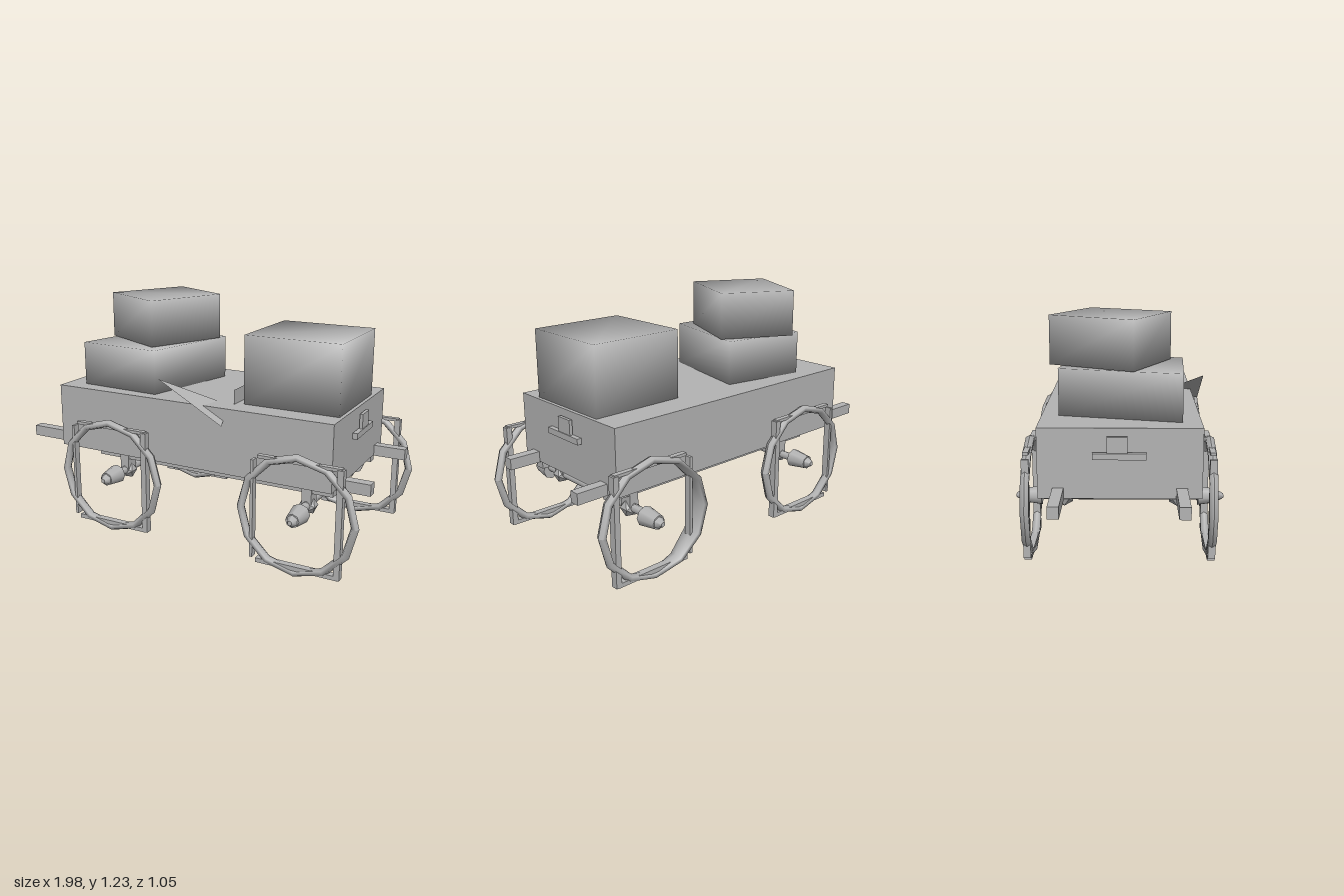
import * as THREE from 'three';
import { mergeVertices } from 'three/addons/utils/BufferGeometryUtils.js';

export function createModel() {
  const wagon = new THREE.Group();
  wagon.name = 'wagon';
  const grey = new THREE.MeshStandardMaterial({ color: 0xb3b3b3, side: THREE.DoubleSide });
  grey.name = 'plain grey';

  const add = (name, geo, x = 0, y = 0, z = 0, parent = wagon) => {
    const mesh = new THREE.Mesh(geo, grey);
    mesh.name = name;
    mesh.position.set(x, y, z);
    parent.add(mesh);
    return mesh;
  };
  // Box given by its limits on each axis
  const box = (name, x0, x1, y0, y1, z0, z1, parent) =>
    add(name, new THREE.BoxGeometry(x1 - x0, y1 - y0, z1 - z0),
      (x0 + x1) / 2, (y0 + y1) / 2, (z0 + z1) / 2, parent);
  // Share the vertices so the shading runs softly over the edges
  const soften = (geo) => {
    geo.deleteAttribute('normal');
    geo.deleteAttribute('uv');
    const g = mergeVertices(geo);
    g.computeVertexNormals();
    return g;
  };
  // Upright crate standing on four ground corners [x, z], back-left round to front-left
  const crate = (name, corners, y0, y1) => {
    const geo = new THREE.BoxGeometry(1, 1, 1);
    const p = geo.attributes.position;
    for (let i = 0; i < p.count; i++) {
      const right = p.getX(i) > 0, front = p.getZ(i) > 0;
      const [x, z] = corners[front ? (right ? 2 : 3) : (right ? 1 : 0)];
      p.setXYZ(i, x, p.getY(i) > 0 ? y1 : y0, z);
    }
    return add(name, soften(geo));
  };

  // Cargo bed
  box('bed', -0.745, 0.815, 0.43, 0.766, -0.38, 0.38);

  // Long beams and the rails beneath them
  for (const s of [-1, 1]) {
    box('beam', -1, 0.98, 0.425, 0.482, s * 0.285 - 0.026, s * 0.285 + 0.026);
    box('rail', -0.545, 0.8, 0.385, 0.43, s * 0.285 - 0.026, s * 0.285 + 0.026);
  }

  // Handles on both ends
  for (const [name, x] of [['rightHandle', -0.765], ['leftHandle', 0.83]]) {
    box(name + 'Bar', x - 0.012, x + 0.012, 0.625, 0.655, -0.125, 0.12);
    box(name + 'Block', x - 0.008, x + 0.008, 0.655, 0.73, -0.06, 0.035);
  }

  // Load
  crate('lowerCrate', [[-0.505, -0.297], [-0.056, -0.222], [-0.185, 0.313], [-0.64, 0.291]], 0.765, 0.995);
  crate('upperCrate', [[-0.404, -0.345], [-0.056, -0.158], [-0.238, 0.249], [-0.607, 0.061]], 0.997, 1.237);
  crate('largeCrate', [[0.3, -0.22], [0.797, -0.22], [0.797, 0.26], [0.3, 0.26]], 0.766, 1.112);

  // Broken boards lying over the front edge
  const board = (name, pts) => {
    const geo = new THREE.BufferGeometry();
    geo.setAttribute('position', new THREE.Float32BufferAttribute(pts.flat(), 3));
    geo.setIndex(pts.length === 4 ? [0, 1, 2, 0, 2, 3] : [0, 1, 2]);
    geo.computeVertexNormals();
    add(name, geo);
  };
  board('fallenBoard', [[-0.09, 0.885, 0.43], [0.265, 0.69, 0.43], [0.2, 0.745, 0.235]]);
  board('uprightBoard', [[0.262, 0.765, 0.29], [0.262, 0.765, -0.05], [0.262, 0.84, -0.05], [0.262, 0.84, 0.29]]);

  // One wheel: twelve-sided rim, square inner bracing, hub
  const wheel = (name, x, y, z, bulge) => {
    const g = new THREE.Group();
    g.name = name;
    g.position.set(x, y, z);
    const rim = new THREE.TorusGeometry(0.289, 0.02, 6, 12);
    const p = rim.attributes.position;
    for (let i = 0; i < p.count; i++) {
      const widen = 1.2 + bulge * Math.max(0, -p.getX(i) / 0.3);
      p.setZ(i, p.getZ(i) * widen);
    }
    rim.computeVertexNormals();
    add('rim', rim, 0, 0, 0, g);
    box('leftBrace', 0.2, 0.23, -0.27, 0.27, -0.018, 0.018, g);
    box('rightBrace', -0.232, -0.217, -0.25, 0.25, -0.018, 0.018, g);
    box('lowerBrace', -0.2, 0.22, -0.272, -0.25, -0.018, 0.018, g);
    box('upperBrace', -0.2, 0.22, 0.262, 0.277, -0.014, 0.014, g);
    const s = Math.sign(z);
    const hub = add('hub', new THREE.CylinderGeometry(0.035, 0.05, 0.1, 8), 0, -0.005, -s * 0.005, g);
    hub.rotation.x = s * Math.PI / 2;
    const cap = add('hubCap', new THREE.CylinderGeometry(0.012, 0.03, 0.03, 6), 0, -0.005, s * 0.06, g);
    cap.rotation.x = s * Math.PI / 2;
    wagon.add(g);
  };

  // Running gear: axle, posts, knuckles and wheels
  for (const [side, x, y] of [['right', -0.385, 0.327], ['left', 0.668, 0.312]]) {
    const axle = add(side + 'Axle', new THREE.CylinderGeometry(0.021, 0.021, 0.78, 8), x, 0.32, 0);
    axle.rotation.x = Math.PI / 2;
    for (const s of [-1, 1]) {
      box('post', x - 0.025, x + 0.025, 0.32, 0.435, s * 0.283 - 0.035, s * 0.283 + 0.035);
      add('knuckle', new THREE.IcosahedronGeometry(0.048, 0), x, 0.315, s * 0.285);
      const warped = side === 'left' && s < 0;
      wheel(side + (s > 0 ? 'FrontWheel' : 'BackWheel'), x, y, s > 0 ? 0.443 : -0.453, warped ? 2 : 0);
    }
  }
  return wagon;
}
